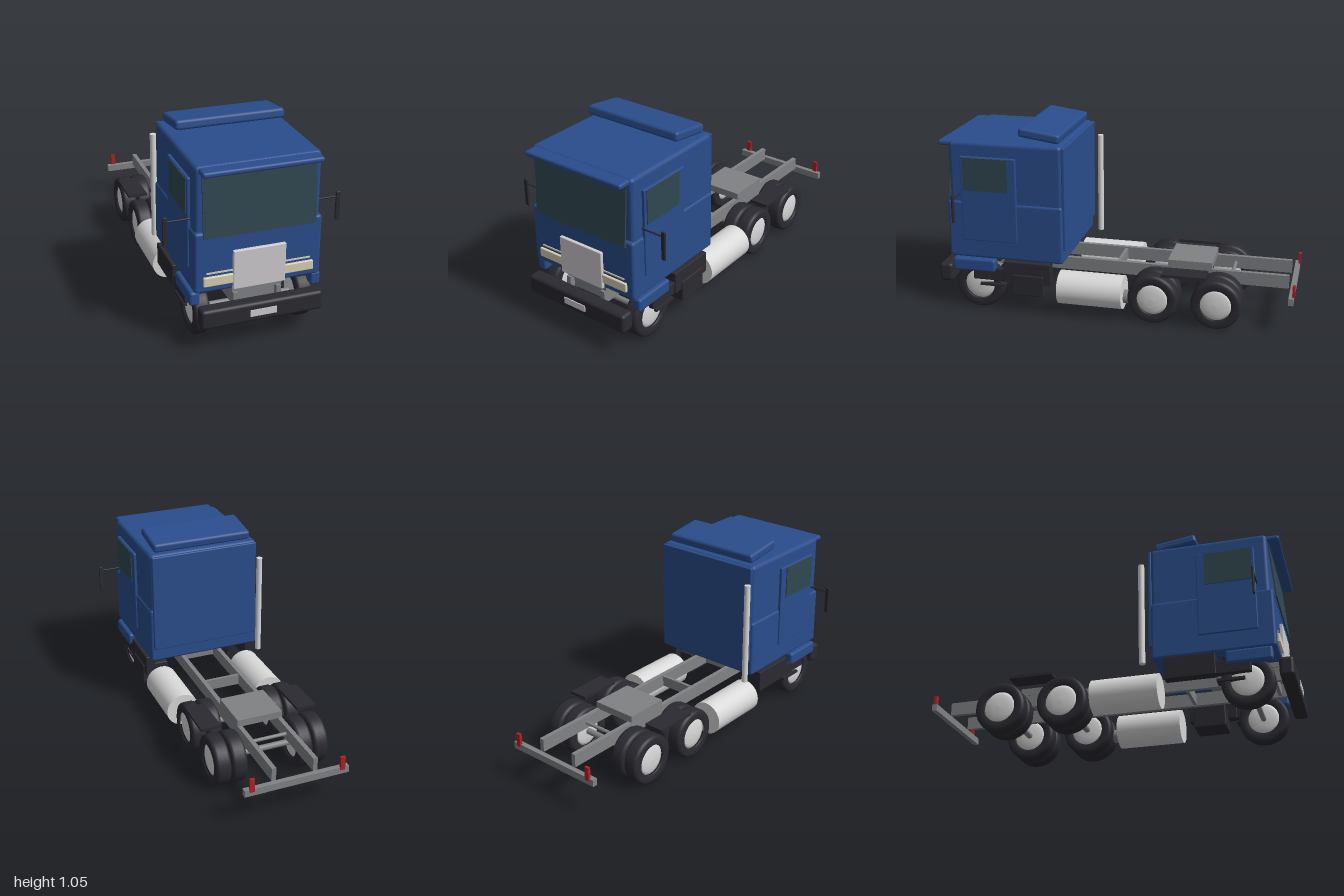
import * as THREE from 'three';
import { RoundedBoxGeometry } from 'three/addons/geometries/RoundedBoxGeometry.js';

export function createModel() {
  const truck = new THREE.Group();
  truck.name = 'tractorTruck';

  const material = (name, color) => {
    const m = new THREE.MeshStandardMaterial({ color });
    m.name = name;
    return m;
  };
  const blue = material('bluePaint', 0x2a4d8c);
  const black = material('blackRubber', 0x2a2a31);
  const grey = material('frameGrey', 0x808284);
  const silver = material('silver', 0xd8d8d8);
  const grilleGrey = material('grilleGrey', 0xd0ccd0);
  const cream = material('headlightCream', 0xd8cfb4);
  const glass = material('darkGlass', 0x2f474f);
  const red = material('redLight', 0xb02024);

  function add(name, geometry, mat, x = 0, y = 0, z = 0) {
    const mesh = new THREE.Mesh(geometry, mat);
    mesh.name = name;
    mesh.position.set(x, y, z);
    truck.add(mesh);
    return mesh;
  }
  // Box given by its extents, with optional rounded edges
  function box(name, mat, [x0, x1], [y0, y1], [z0, z1], radius = 0) {
    const size = [x1 - x0, y1 - y0, z1 - z0];
    const geometry = radius
      ? new RoundedBoxGeometry(...size, 3, radius)
      : new THREE.BoxGeometry(...size);
    return add(name, geometry, mat, (x0 + x1) / 2, (y0 + y1) / 2, (z0 + z1) / 2);
  }
  // The same box on both sides
  function pair(name, mat, [x0, x1], ys, zs, radius = 0) {
    box(name + 'Left', mat, [x0, x1], ys, zs, radius);
    box(name + 'Right', mat, [-x1, -x0], ys, zs, radius);
  }
  // Cylinder lying across the truck
  function crossRod(name, mat, radius, length, x, y, z) {
    add(name, new THREE.CylinderGeometry(radius, radius, length, 24), mat, x, y, z).rotation.z = Math.PI / 2;
  }

  // Cab body
  box('lowerCab', blue, [-0.333, 0.333], [0.305, 0.633], [0.26, 0.917], 0.015);
  box('upperCab', blue, [-0.325, 0.325], [0.58, 0.97], [0.26, 0.9], 0.022);
  box('rearCabPanel', blue, [-0.318, 0.318], [0.385, 0.963], [0.245, 0.265], 0.006);
  box('sunVisor', blue, [-0.308, 0.308], [0.936, 0.965], [0.885, 0.965], 0.012);
  const fairing = add('roofFairing', new RoundedBoxGeometry(0.585, 0.052, 0.232, 3, 0.016), blue, 0, 1.014, 0.395);
  fairing.rotation.x = -0.14;
  const windshield = add('windshield', new THREE.BoxGeometry(0.586, 0.332, 0.008), glass, 0, 0.77, 0.914);
  windshield.rotation.x = -0.075;
  // Fills the space behind the leaning windshield
  box('windshieldBase', blue, [-0.29, 0.29], [0.6, 0.63], [0.88, 0.919]);

  // Doors, windows and corner fenders
  pair('door', blue, [0.31, 0.341], [0.41, 0.89], [0.515, 0.83], 0.005);
  pair('sideWindow', glass, [0.34, 0.346], [0.7, 0.885], [0.56, 0.815]);
  pair('cornerFender', blue, [0.296, 0.35], [0.228, 0.302], [0.65, 0.895], 0.014);

  // Grille and headlights
  box('grille', grilleGrey, [-0.138, 0.138], [0.307, 0.519], [0.91, 0.934], 0.005);
  pair('headlight', cream, [0.135, 0.29], [0.343, 0.394], [0.905, 0.93], 0.005);
  pair('lightStrip', cream, [0.137, 0.273], [0.408, 0.416], [0.912, 0.922]);

  // Front bumper and plate
  box('frontBumper', black, [-0.322, 0.322], [0.14, 0.246], [0.917, 0.993], 0.018);
  box('blankPlate', grilleGrey, [-0.07, 0.07], [0.175, 0.211], [0.99, 0.998]);

  // Mirrors
  pair('mirror', black, [0.443, 0.467], [0.55, 0.706], [0.827, 0.839], 0.004);
  for (const side of [-1, 1]) crossRod('mirrorArm', black, 0.0045, 0.13, side * 0.385, 0.68, 0.833);

  // Side skirts, steps and battery box
  pair('sideSkirt', black, [0.29, 0.347], [0.18, 0.302], [0.33, 0.6], 0.004);
  pair('skirtFront', black, [0.3, 0.34], [0.18, 0.25], [0.59, 0.78], 0.004);
  pair('step', black, [0.27, 0.334], [0.142, 0.156], [0.6, 0.745]);
  pair('wheelCover', black, [0.225, 0.3], [0.284, 0.291], [0.63, 0.88]);
  box('batteryBox', black, [0.2, 0.355], [0.11, 0.23], [0.37, 0.55], 0.005);

  // Ladder frame
  pair('frameRail', grey, [0.103, 0.128], [0.2, 0.273], [-0.957, 0.91]);
  box('cabMount', grey, [-0.132, 0.132], [0.275, 0.302], [0.5, 0.9]);
  for (const z of [0.87, 0.4, 0]) box('crossMember', grey, [-0.11, 0.11], [0.205, 0.265], [z - 0.009, z + 0.009]);
  crossRod('rearCrossTube', grey, 0.01, 0.22, 0, 0.235, -0.64);

  // Coupling plate, mudguards and rear bar
  box('couplingPlate', grey, [-0.13, 0.13], [0.27, 0.31], [-0.535, -0.288]);
  pair('mudguard', black, [0.223, 0.335], [0.287, 0.302], [-0.53, -0.288]);
  box('rearBar', grey, [-0.29, 0.29], [0.17, 0.208], [-0.995, -0.967]);
  pair('tailLight', red, [0.238, 0.264], [0.195, 0.27], [-1, -0.985]);

  // Fuel tanks, tank end and exhaust stack
  for (const side of [-1, 1]) {
    const tank = add('fuelTank', new THREE.CylinderGeometry(0.094, 0.094, 0.365, 40), silver, side * 0.267, 0.15, 0.112);
    tank.rotation.x = Math.PI / 2;
  }
  const canister = add('airCanister', new THREE.CylinderGeometry(0.038, 0.038, 0.06, 24), grey, 0.263, 0.125, -0.075);
  canister.rotation.x = Math.PI / 2;
  add('exhaustStack', new THREE.CylinderGeometry(0.017, 0.017, 0.59, 20), silver, -0.323, 0.585, 0.21);

  // Wheels: rounded tyre ring with a shallow domed hub on each face
  const ring = [[0.085, -0.034], [0.09, -0.042], [0.122, -0.042], [0.134, -0.036], [0.139, -0.024],
    [0.139, 0.024], [0.134, 0.036], [0.122, 0.042], [0.09, 0.042], [0.085, 0.034]];
  const dome = [[0, -0.039], [0.04, -0.037], [0.07, -0.032], [0.087, -0.025],
    [0.087, 0.025], [0.07, 0.032], [0.04, 0.037], [0, 0.039]];
  const lathe = (points) => new THREE.LatheGeometry(points.map(([r, h]) => new THREE.Vector2(r, h)), 40);
  const tyreGeometry = lathe(ring);
  const hubGeometry = lathe(dome);
  function wheel(x, z) {
    add('tyre', tyreGeometry, black, x, 0.14, z).rotation.z = Math.PI / 2;
    add('hub', hubGeometry, silver, x, 0.14, z).rotation.z = Math.PI / 2;
  }
  for (const side of [-1, 1]) {
    wheel(side * 0.277, 0.755);
    for (const z of [-0.237, -0.585]) {
      wheel(side * 0.28, z);
      wheel(side * 0.189, z);
    }
  }
  crossRod('frontAxle', grey, 0.015, 0.5, 0, 0.135, 0.755);
  for (const z of [-0.237, -0.585]) crossRod('rearAxle', grey, 0.017, 0.4, 0, 0.14, z);

  return truck;
}
